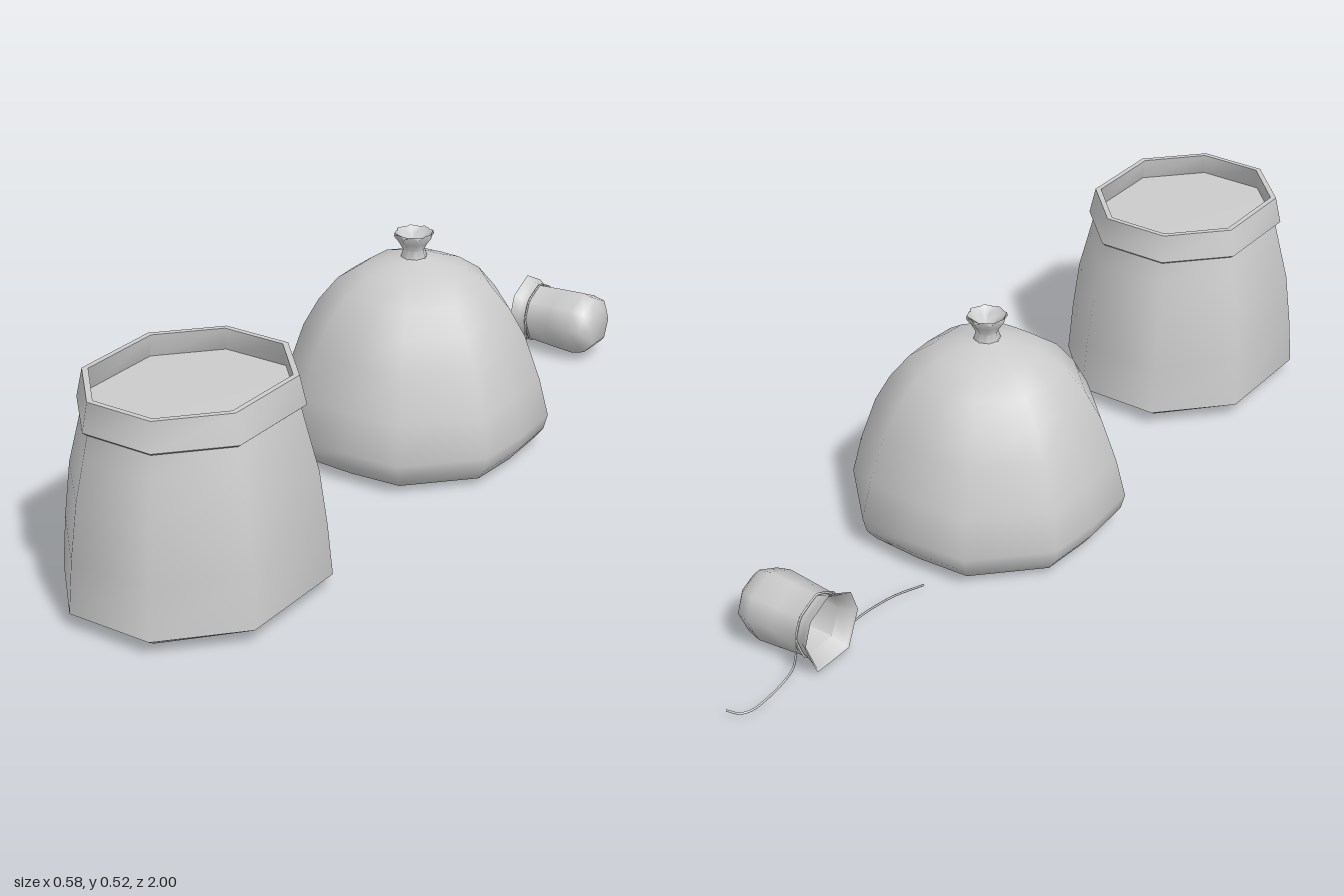
import * as THREE from 'three';
import { toCreasedNormals } from 'three/addons/utils/BufferGeometryUtils.js';

const material = new THREE.MeshStandardMaterial({ color: 0xcccccc, side: THREE.DoubleSide });

// Stacks a unit cross-section along y. Profile rows: [y, x scale, z scale, wave on odd corners]
function loft(section, profile, crease = 0.95) {
  const n = section.length, pos = [], index = [];
  for (const [y, sx, sz, wave = 0] of profile)
    section.forEach(([u, v], j) => pos.push(u * sx, y + wave * (j % 2), v * sz));
  for (let i = 0; i < profile.length - 1; i++)
    for (let j = 0; j < n; j++) {
      const a = i * n + j, b = i * n + (j + 1) % n;
      index.push(a, a + n, b, b, a + n, b + n);
    }
  const g = new THREE.BufferGeometry();
  g.setAttribute('position', new THREE.Float32BufferAttribute(pos, 3));
  g.setIndex(index);
  return toCreasedNormals(g, crease);
}

function part(name, geometry, parent) {
  const mesh = new THREE.Mesh(geometry, material);
  mesh.name = name;
  parent.add(mesh);
  return mesh;
}

function group(name, z, parent) {
  const g = new THREE.Group();
  g.name = name;
  g.position.z = z;
  parent.add(g);
  return g;
}

const octagon = [[1, 0.47], [0.41, 1], [-0.41, 1], [-1, 0.47], [-1, -0.47], [-0.41, -1], [0.41, -1], [1, -0.47]];
const softSquare = [[1, 0], [0.97, 0.47], [0.48, 0.97], [0, 1], [-0.48, 0.97], [-0.97, 0.47],
  [-1, 0], [-0.97, -0.47], [-0.48, -0.97], [0, -1], [0.48, -0.97], [0.97, -0.47]];
const heptagon = [[1, 0], [0.62, 0.76], [-0.03, 1], [-0.95, 0.6], [-0.95, -0.6], [-0.03, -1], [0.62, -0.76]];
const scallop = Array.from({ length: 16 }, (_, i) => {
  const a = i * Math.PI / 8, r = i % 2 ? 0.88 : 1;
  return [r * Math.cos(a), r * Math.sin(a)];
});

export function createModel() {
  const model = new THREE.Group();

  // Open sack with a rolled lip and its contents
  const open = group('openSack', 0.713, model);
  part('sackBody', loft(octagon, [
    [0.01, 0, 0], [0.01, 0.205, 0.25], [0.035, 0.245, 0.285], [0.15, 0.237, 0.274],
    [0.27, 0.225, 0.256], [0.36, 0.204, 0.237], [0.42, 0.19, 0.225],
  ]), open);
  part('rolledLip', loft(octagon, [
    [0.42, 0.188, 0.22], [0.412, 0.198, 0.23], [0.417, 0.204, 0.235], [0.48, 0.191, 0.223],
    [0.48, 0.179, 0.211], [0.42, 0.187, 0.218],
  ], 0.85), open);
  part('contents', loft(octagon, [[0.43, 0.186, 0.217], [0.435, 0, 0]]), open);

  // Tied sack, gathered at the top
  const tied = group('tiedSack', -0.104, model);
  part('sackBody', loft(softSquare, [
    [0.004, 0, 0], [0, 0.205, 0.205, 0.004], [0.018, 0.26, 0.258], [0.045, 0.281, 0.279], [0.08, 0.29, 0.288],
    [0.17, 0.27, 0.268], [0.275, 0.237, 0.234], [0.34, 0.203, 0.202], [0.395, 0.162, 0.16],
    [0.432, 0.11, 0.11], [0.45, 0.06, 0.06], [0.458, 0.027, 0.027],
  ], 1.2), tied);
  part('gatheredNeck', loft(scallop, [
    [0.452, 0.032, 0.032], [0.475, 0.025, 0.025], [0.492, 0.034, 0.034], [0.508, 0.046, 0.046, 0.007],
    [0.516, 0.044, 0.044, -0.004], [0.503, 0.029, 0.029], [0.482, 0, 0],
  ], 1.2), tied);

  // Small pouch lying on its side, mouth towards -x
  const small = group('smallPouch', -0.745, model);
  const pouch = part('pouchBody', loft(heptagon, [
    [-0.14, 0, 0], [-0.14, 0.046, 0.046], [-0.122, 0.067, 0.072], [-0.09, 0.074, 0.081], [-0.03, 0.071, 0.075],
    [0.035, 0.067, 0.069], [0.052, 0.075, 0.075], [0.07, 0.086, 0.085],
    [0.066, 0.08, 0.079], [0.036, 0.06, 0.062], [-0.09, 0.066, 0.072], [-0.12, 0, 0],
  ], 1.2), small);
  pouch.rotation.z = Math.PI / 2;
  pouch.position.y = 0.092;

  // Drawstring: a loop round the neck and two loose ends on the ground
  const cord = (name, points, closed, type) => part(name, new THREE.TubeGeometry(
    new THREE.CatmullRomCurve3(points.map(p => new THREE.Vector3(...p)), closed, type, 0.2), 48, 0.0025, 5, closed), small);
  cord('drawstringLoop', heptagon.map(([u, v]) => [-0.033, 0.092 + u * 0.069, v * 0.071]), true, 'catmullrom');
  cord('drawstringFrontEnd', [[-0.033, 0.09, 0.071], [-0.03, 0.05, 0.073], [-0.024, 0.024, 0.086],
    [-0.021, 0.012, 0.12], [-0.022, 0.011, 0.17], [-0.035, 0.011, 0.25], [-0.062, 0.011, 0.318]], false, 'centripetal');
  cord('drawstringBackEnd', [[-0.033, 0.09, -0.071], [-0.032, 0.05, -0.073], [-0.033, 0.024, -0.086],
    [-0.035, 0.012, -0.12], [-0.042, 0.011, -0.18], [-0.041, 0.011, -0.225], [-0.028, 0.011, -0.246],
    [0, 0.011, -0.254]], false, 'centripetal');

  return model;
}
